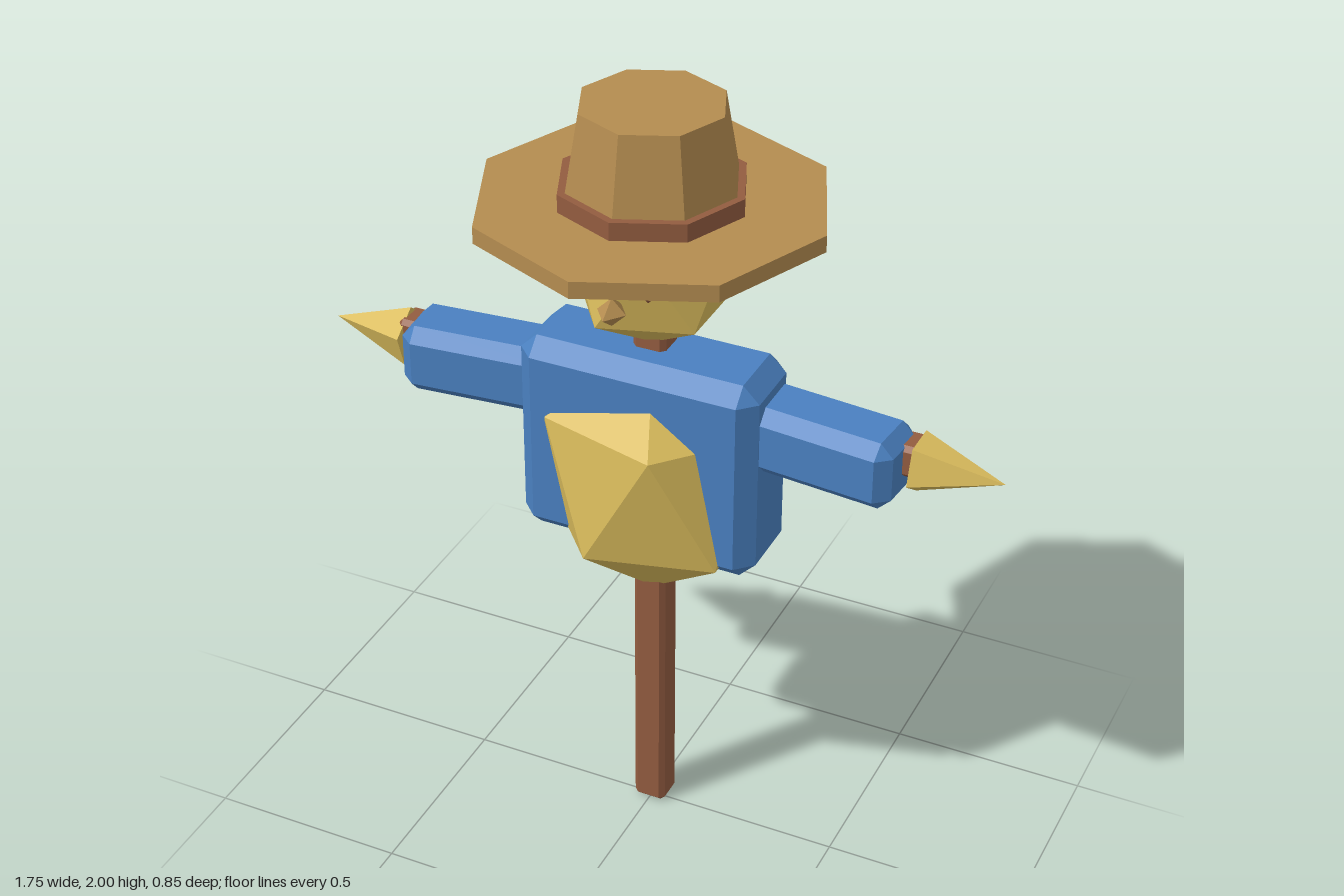
import * as THREE from 'three';
import { ConvexGeometry } from 'three/addons/geometries/ConvexGeometry.js';

const mat = (name, color) => {
  const m = new THREE.MeshStandardMaterial({ color, flatShading: true });
  m.name = name;
  return m;
};

// Box with every edge cut by a flat bevel
function bevelBox(w, h, d, b) {
  const pts = [];
  const [x, y, z] = [w / 2, h / 2, d / 2];
  for (const sx of [-1, 1]) for (const sy of [-1, 1]) for (const sz of [-1, 1]) {
    pts.push(
      new THREE.Vector3(sx * x, sy * (y - b), sz * (z - b)),
      new THREE.Vector3(sx * (x - b), sy * y, sz * (z - b)),
      new THREE.Vector3(sx * (x - b), sy * (y - b), sz * z));
  }
  return new ConvexGeometry(pts);
}

// Icosahedron standing on a point: two poles and two rings of five
function strawBall(rx, ry, rz) {
  const pts = [new THREE.Vector3(0, ry, 0), new THREE.Vector3(0, -ry, 0)];
  for (let i = 0; i < 5; i++) {
    const a = (i * Math.PI * 2) / 5;
    const c = 0.894 * Math.cos(a), s = 0.894 * Math.sin(a);
    pts.push(new THREE.Vector3(c * rx, 0.447 * ry, s * rz), new THREE.Vector3(-c * rx, -0.447 * ry, s * rz));
  }
  return new ConvexGeometry(pts);
}

export function createModel() {
  const group = new THREE.Group();
  const straw = mat('straw', 0xd9bb5c);
  const cloth = mat('blue cloth', 0x4a80c0);
  const wood = mat('brown wood', 0x935c40);
  const felt = mat('tan felt', 0xb48c50);

  const add = (name, geometry, material, x, y, z) => {
    const m = new THREE.Mesh(geometry, material);
    m.name = name;
    m.position.set(x, y, z);
    group.add(m);
    return m;
  };

  // Wooden frame
  add('pole', bevelBox(0.084, 1.46, 0.084, 0.012), wood, 0, 0.73, -0.015);
  add('crossbar', bevelBox(1.36, 0.084, 0.084, 0.012), wood, 0, 1.238, -0.018);

  // Shirt and the straw bursting out of it
  add('shirt', bevelBox(0.615, 0.535, 0.24, 0.042), cloth, 0, 1.108, 0);
  add('strawBelly', strawBall(0.31, 0.355, 0.252), straw, 0, 1.025, -0.005);

  // Sleeves angled slightly forward, with pointed straw hands
  for (const s of [-1, 1]) {
    const side = s > 0 ? 'left' : 'right';
    const sleeve = add(side + 'Sleeve', bevelBox(0.5, 0.178, 0.178, 0.033), cloth, s * 0.392, 1.219, -0.006);
    sleeve.rotation.y = -s * 0.095;
    const hand = new THREE.ConeGeometry(0.077, 0.212, 5);
    hand.rotateY(Math.PI / 2).rotateZ(-s * Math.PI / 2);
    add(side + 'Hand', hand, straw, s * 0.769, 1.22, -0.018);
  }
  // Vertex-up and vertex-down hands
  for (const h of group.children) {
    if (!h.name.endsWith('Hand')) continue;
    const p = h.geometry.attributes.position;
    let apexY = 0;
    for (let i = 0; i < p.count; i++) if (Math.abs(p.getY(i)) > Math.abs(apexY)) apexY = p.getY(i);
    const wantUp = h.name === 'rightHand';
    if ((apexY > 0) !== wantUp) h.geometry.rotateX(Math.PI);
  }

  // Head and face
  add('head', strawBall(0.217, 0.22, 0.217), straw, 0, 1.6, -0.003);
  for (const s of [-1, 1]) {
    add(s > 0 ? 'leftEye' : 'rightEye', new THREE.OctahedronGeometry(0.034), wood, s * 0.076, 1.637, 0.185);
  }
  add('nose', new THREE.OctahedronGeometry(0.036), felt, 0, 1.577, 0.215).scale.z = 1.3;

  // Eight-sided hat
  add('hatBrim', new THREE.CylinderGeometry(0.425, 0.425, 0.042, 8), felt, 0, 1.744, 0);
  add('hatBand', new THREE.CylinderGeometry(0.227, 0.227, 0.05, 8), wood, 0, 1.785, 0);
  add('hatCrown', new THREE.CylinderGeometry(0.175, 0.217, 0.24, 8), felt, 0, 1.88, 0);

  return group;
}
